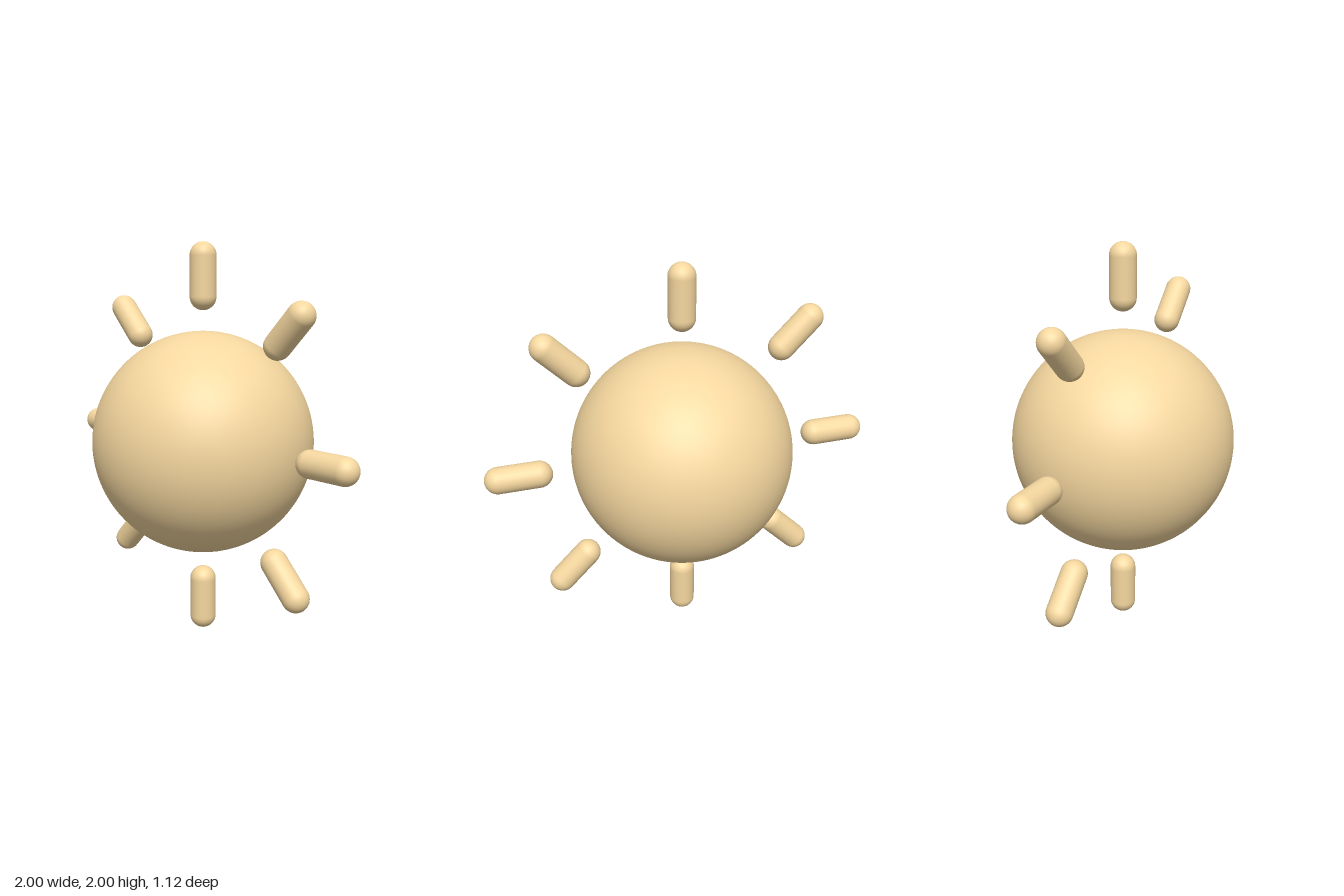
import * as THREE from 'three';

const BODY_RADIUS = 0.5625;
const RAY_RADIUS = 0.067;
const RAY_INNER = 0.665;
const RAY_OUTER = 1;
const RAY_COUNT = 8;

export function createModel() {
  const model = new THREE.Group();
  model.name = 'sun';
  const material = new THREE.MeshStandardMaterial({ color: 0xf5d79f });

  // Round body
  const body = new THREE.Mesh(new THREE.SphereGeometry(BODY_RADIUS, 96, 64), material);
  body.name = 'body';
  body.position.y = 1;
  model.add(body);

  // Ring of rounded rays, all in the upright plane z = 0
  const rays = new THREE.Group();
  rays.name = 'rays';
  rays.position.y = 1;
  const rayLength = RAY_OUTER - RAY_INNER;
  const rayGeometry = new THREE.CapsuleGeometry(RAY_RADIUS, rayLength - 2 * RAY_RADIUS, 12, 32);
  rayGeometry.translate(0, (RAY_INNER + RAY_OUTER) / 2, 0);
  for (let i = 0; i < RAY_COUNT; i++) {
    const ray = new THREE.Mesh(rayGeometry, material);
    ray.name = `ray${i + 1}`;
    ray.rotation.z = (i / RAY_COUNT) * Math.PI * 2;
    rays.add(ray);
  }
  model.add(rays);

  return model;
}
